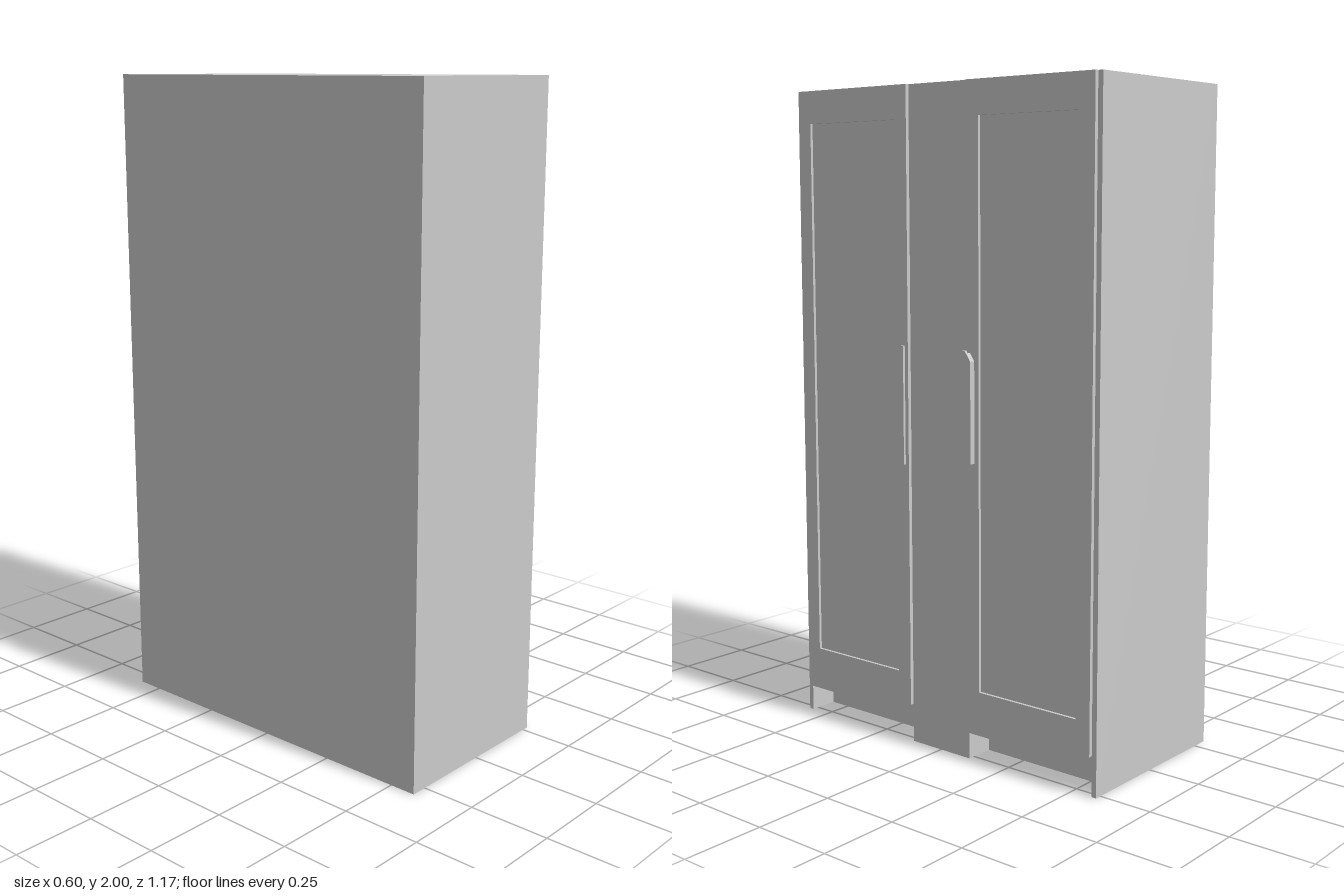
import * as THREE from 'three';

const material = new THREE.MeshStandardMaterial({ color: 0xcccccc, side: THREE.DoubleSide, flatShading: true });

// Built facing local +z, then the whole cabinet is turned to face +x.
const HALF = 0.583, HEIGHT = 2, BACK = -0.301, FRONT = 0.271;
const DOOR_IN = 0.114, DOOR_OUT = 0.567, DOOR_LOW = 0.12, DOOR_FACE = 0.283;
const KICK_H = 0.08, KICK_Z = 0.18;

function add(parent, name, geometry, x = 0, y = 0, z = 0) {
  const mesh = new THREE.Mesh(geometry, material);
  mesh.name = name;
  mesh.position.set(x, y, z);
  parent.add(mesh);
  return mesh;
}

function polygon(points) {
  return new THREE.Shape(points.map(([x, y]) => new THREE.Vector2(x, y)));
}

function rect(x0, x1, y0, y1) {
  return polygon([[x0, y0], [x1, y0], [x1, y1], [x0, y1]]);
}

function extrude(shape, depth) {
  return new THREE.ExtrudeGeometry(shape, { depth, bevelEnabled: false });
}

// Thin carcass, open underneath, with two toe-kick notches in the front
function buildBody() {
  const body = new THREE.Group();
  body.name = 'body';
  const depth = FRONT - BACK, mid = (FRONT + BACK) / 2;
  add(body, 'backPanel', new THREE.PlaneGeometry(2 * HALF, HEIGHT).rotateY(Math.PI), 0, HEIGHT / 2, BACK);
  add(body, 'topPanel', new THREE.PlaneGeometry(2 * HALF, depth).rotateX(-Math.PI / 2), 0, HEIGHT, mid);
  for (const s of [-1, 1]) {
    add(body, 'sidePanel', new THREE.PlaneGeometry(depth, HEIGHT).rotateY(s * Math.PI / 2), s * HALF, HEIGHT / 2, mid);
  }
  const front = polygon([
    [-HALF, 0], [-DOOR_OUT, 0], [-DOOR_OUT, KICK_H], [-DOOR_IN, KICK_H], [-DOOR_IN, 0],
    [DOOR_IN, 0], [DOOR_IN, KICK_H], [DOOR_OUT, KICK_H], [DOOR_OUT, 0], [HALF, 0],
    [HALF, HEIGHT], [-HALF, HEIGHT],
  ]);
  add(body, 'frontPanel', new THREE.ShapeGeometry(front), 0, 0, FRONT);
  return body;
}

// Recess below a door: riser, ceiling and two end walls
function buildToeKick(s) {
  const kick = new THREE.Group();
  kick.name = 'toeKick';
  const w = DOOR_OUT - DOOR_IN, x = s * (DOOR_OUT + DOOR_IN) / 2;
  const d = FRONT - KICK_Z, z = (FRONT + KICK_Z) / 2;
  add(kick, 'riser', new THREE.PlaneGeometry(w, KICK_H), x, KICK_H / 2, KICK_Z);
  add(kick, 'recessCeiling', new THREE.PlaneGeometry(w, d).rotateX(Math.PI / 2), x, KICK_H, z);
  for (const e of [-1, 1]) {
    add(kick, 'recessEnd', new THREE.PlaneGeometry(d, KICK_H).rotateY(-e * Math.PI / 2), x + e * w / 2, KICK_H / 2, z);
  }
  return kick;
}

// Framed door with a sunken panel and an L-section pull with clipped corners
function buildDoor(s) {
  const door = new THREE.Group();
  door.name = 'door';
  const frame = rect(s * DOOR_IN, s * DOOR_OUT, DOOR_LOW, HEIGHT);
  frame.holes.push(rect(s * 0.163, s * 0.519, 0.22, 1.9));
  add(door, 'doorFrame', extrude(frame, DOOR_FACE - FRONT), 0, 0, FRONT);
  add(door, 'doorPanel', new THREE.PlaneGeometry(0.356, 1.68), s * 0.341, 1.06, FRONT + 0.003);

  const lip = polygon([
    [s * 0.117, 0.877], [s * 0.126, 0.877], [s * 0.147, 0.907],
    [s * 0.147, 1.206], [s * 0.126, 1.236], [s * 0.117, 1.236],
  ]);
  add(door, 'handleLip', extrude(lip, 0.008), 0, 0, 0.293);
  const stem = polygon([
    [s * 0.131, 0.884], [s * 0.147, 0.907], [s * 0.147, 1.206], [s * 0.131, 1.229],
  ]);
  add(door, 'handleStem', extrude(stem, 0.293 - DOOR_FACE), 0, 0, DOOR_FACE);
  return door;
}

export function createModel() {
  const model = new THREE.Group();
  model.name = 'wardrobe';
  const cabinet = new THREE.Group();
  cabinet.name = 'cabinet';
  cabinet.add(buildBody());
  for (const s of [-1, 1]) cabinet.add(buildToeKick(s), buildDoor(s));
  cabinet.rotation.y = Math.PI / 2;
  model.add(cabinet);
  return model;
}
